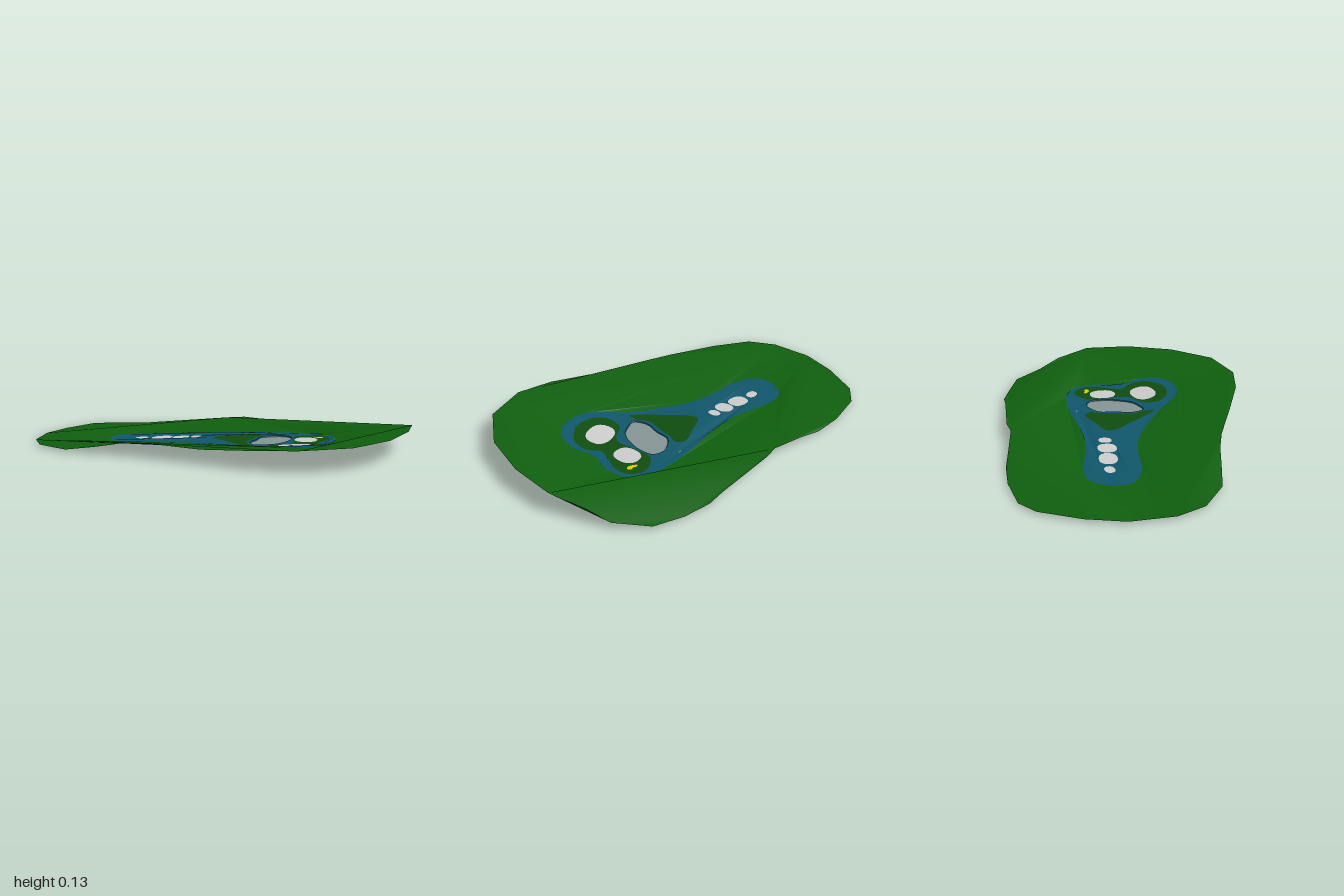
import * as THREE from 'three';

const COLORS = { rough: 0x0f5f0f, island: 0x104c10, fairway: 0x10566a, sand: 0xffffff, plate: 0x869494, yellow: 0xd8d000 };
const PLATE_Y = 0.026;

// Outer border of the land: x, z, height
const border = [
  [-0.48, -0.91, 0.01], [-0.27, -0.86, 0.01], [-0.11, -0.79, 0.015], [0.02, -0.71, 0.04], [0.19, -0.61, 0.062],
  [0.28, -0.59, 0.065], [0.6, -0.44, 0.035], [0.7, -0.4, 0.025], [0.82, -0.31, 0.015], [0.95, -0.19, 0.025],
  [1, 0, 0.04], [0.995, 0.13, 0.09], [0.975, 0.33, 0.125], [0.85, 0.56, 0.13], [0.66, 0.77, 0.125],
  [0.41, 0.9, 0.12], [0.15, 0.87, 0.112], [-0.03, 0.75, 0.1], [-0.25, 0.53, 0.078], [-0.4, 0.38, 0.08],
  [-0.48, 0.3, 0.08], [-0.6, 0.2, 0.068], [-0.73, 0.11, 0.04], [-0.87, 0.01, 0.015], [-0.99, -0.18, 0.015],
  [-1, -0.35, 0.015], [-0.92, -0.57, 0.015], [-0.79, -0.73, 0.015], [-0.61, -0.88, 0.015]
];

// Gentle height of the playing area
function ground(x, z) {
  return 0.002 + 0.03 * THREE.MathUtils.smoothstep(x, -0.45, 0.1)
    + 0.035 * THREE.MathUtils.smoothstep(z, 0.2, 0.55);
}

function landHeight(x, z) {
  const p = border.find(b => Math.hypot(b[0] - x, b[1] - z) < 1e-4);
  return p ? p[2] : ground(x, z);
}

// Smooth closed outline through a few x, z points
function outline(points, steps = 4) {
  const curve = new THREE.CatmullRomCurve3(points.map(([x, z]) => new THREE.Vector3(x, 0, z)), true);
  return curve.getPoints(points.length * steps).slice(0, -1).map(p => [p.x, p.z]);
}

function oval(x, z, rx, rz, angle = 0) {
  return Array.from({ length: 20 }, (_, i) => {
    const a = i / 20 * Math.PI * 2;
    const u = rx * Math.sign(Math.cos(a)) * Math.abs(Math.cos(a)) ** 0.85;
    const v = rz * Math.sign(Math.sin(a)) * Math.abs(Math.sin(a)) ** 0.85;
    return [x + u * Math.cos(angle) - v * Math.sin(angle), z + u * Math.sin(angle) + v * Math.cos(angle)];
  });
}

function makeMesh(name, geometry, color) {
  const material = new THREE.MeshStandardMaterial({ color, side: THREE.DoubleSide });
  const mesh = new THREE.Mesh(geometry, material);
  mesh.name = name;
  return mesh;
}

// Thin sheet of land with openings, draped over the height rule
function patch(name, points, holes, color) {
  const flat = list => list.map(([x, z]) => new THREE.Vector2(x, -z));
  const shape = new THREE.Shape(flat(points));
  shape.holes = holes.map(h => new THREE.Path(flat(h)));
  const geometry = new THREE.ShapeGeometry(shape).rotateX(-Math.PI / 2);
  const pos = geometry.attributes.position;
  for (let i = 0; i < pos.count; i++) pos.setY(i, landHeight(pos.getX(i), pos.getZ(i)));
  geometry.computeVertexNormals();
  return makeMesh(name, geometry, color);
}

// Bowl whose rim follows the ground and whose middle dips below the plate
function bowl(name, rim, center, color) {
  const rings = [[1, 0], [0.95, 0.55], [0.7, 0.85], [0.35, 1], [0, 1]];
  const positions = [], index = [], n = rim.length;
  rings.forEach(([s, drop]) => rim.forEach(([x, z]) => {
    positions.push(center[0] + (x - center[0]) * s, THREE.MathUtils.lerp(ground(x, z), 0.01, drop), center[1] + (z - center[1]) * s);
  }));
  for (let r = 0; r < rings.length - 1; r++) {
    for (let i = 0; i < n; i++) {
      const a = r * n + i, b = r * n + (i + 1) % n;
      index.push(a, a + n, b, b, a + n, b + n);
    }
  }
  const geometry = new THREE.BufferGeometry();
  geometry.setAttribute('position', new THREE.Float32BufferAttribute(positions, 3));
  geometry.setIndex(index);
  geometry.computeVertexNormals();
  return makeMesh(name, geometry, color);
}

export function createModel() {
  const group = new THREE.Group();
  group.name = 'golfHole';

  const fairway = outline([
    [-0.45, -0.495], [-0.315, -0.455], [-0.13, -0.33], [0.06, -0.25], [0.27, -0.19], [0.43, -0.13], [0.57, -0.04],
    [0.62, 0.07], [0.59, 0.18], [0.5, 0.29], [0.49, 0.4], [0.42, 0.5], [0.3, 0.525], [0.165, 0.465], [0.1, 0.37],
    [0.06, 0.28], [-0.05, 0.12], [-0.18, -0.03], [-0.315, -0.12], [-0.475, -0.2], [-0.58, -0.32], [-0.565, -0.41]
  ]);
  const bowlRim = outline([
    [0.28, -0.05], [0.35, -0.045], [0.39, 0], [0.375, 0.06], [0.34, 0.12], [0.25, 0.2], [0.18, 0.21], [0.12, 0.2],
    [0.12, 0.12], [0.18, 0.04], [0.22, -0.03]
  ]);
  const middleIsland = outline([
    [-0.02, -0.13], [0.1, -0.135], [0.22, -0.13], [0.245, -0.085], [0.2, -0.035], [0.155, 0.035], [0.1, 0.11],
    [0.095, 0.2], [0.075, 0.24], [0.04, 0.17], [0, 0.03], [-0.03, -0.06]
  ]);
  const endIsland = outline([
    [0.41, 0.01], [0.48, -0.02], [0.55, -0.01], [0.595, 0.06], [0.57, 0.14], [0.5, 0.205], [0.45, 0.26], [0.47, 0.34],
    [0.43, 0.42], [0.3, 0.46], [0.18, 0.4], [0.155, 0.32], [0.2, 0.25], [0.31, 0.23], [0.35, 0.18], [0.37, 0.11]
  ]);
  const marker = outline([[0.505, 0.04], [0.52, 0.04], [0.535, 0.055], [0.555, 0.06], [0.555, 0.08], [0.535, 0.083], [0.515, 0.065]]);
  const endBunkers = [oval(0.31, 0.32, 0.09, 0.07, 0.15), oval(0.44, 0.12, 0.063, 0.075, 0.4)];
  const fairwayBunkers = [
    oval(-0.395, -0.345, 0.037, 0.028, 0.3), oval(-0.29, -0.29, 0.06, 0.05, 0.5),
    oval(-0.19, -0.235, 0.048, 0.052, 0.4), oval(-0.11, -0.2, 0.028, 0.036, 0.5)
  ];

  // Land, from the border inward
  group.add(
    patch('rough', border, [fairway], COLORS.rough),
    patch('fairway', fairway, [bowlRim, middleIsland, endIsland, ...fairwayBunkers], COLORS.fairway),
    patch('middleIsland', middleIsland, [], COLORS.island),
    patch('endIsland', endIsland, [...endBunkers, marker], COLORS.island),
    bowl('bowl', bowlRim, [0.25, 0.085], COLORS.fairway),
    patch('marker', marker, [], COLORS.yellow)
  );

  // Sand bunkers
  [...endBunkers, ...fairwayBunkers].forEach(b => group.add(patch('bunker', b, [], COLORS.sand)));

  // Flat plate filling the bowl, set diagonally
  const plate = makeMesh('plate', new THREE.PlaneGeometry(0.39, 0.226).rotateX(-Math.PI / 2), COLORS.plate);
  plate.rotation.y = Math.PI / 4;
  plate.position.set(0.255, PLATE_Y, 0.08);
  group.add(plate);

  return group;
}
